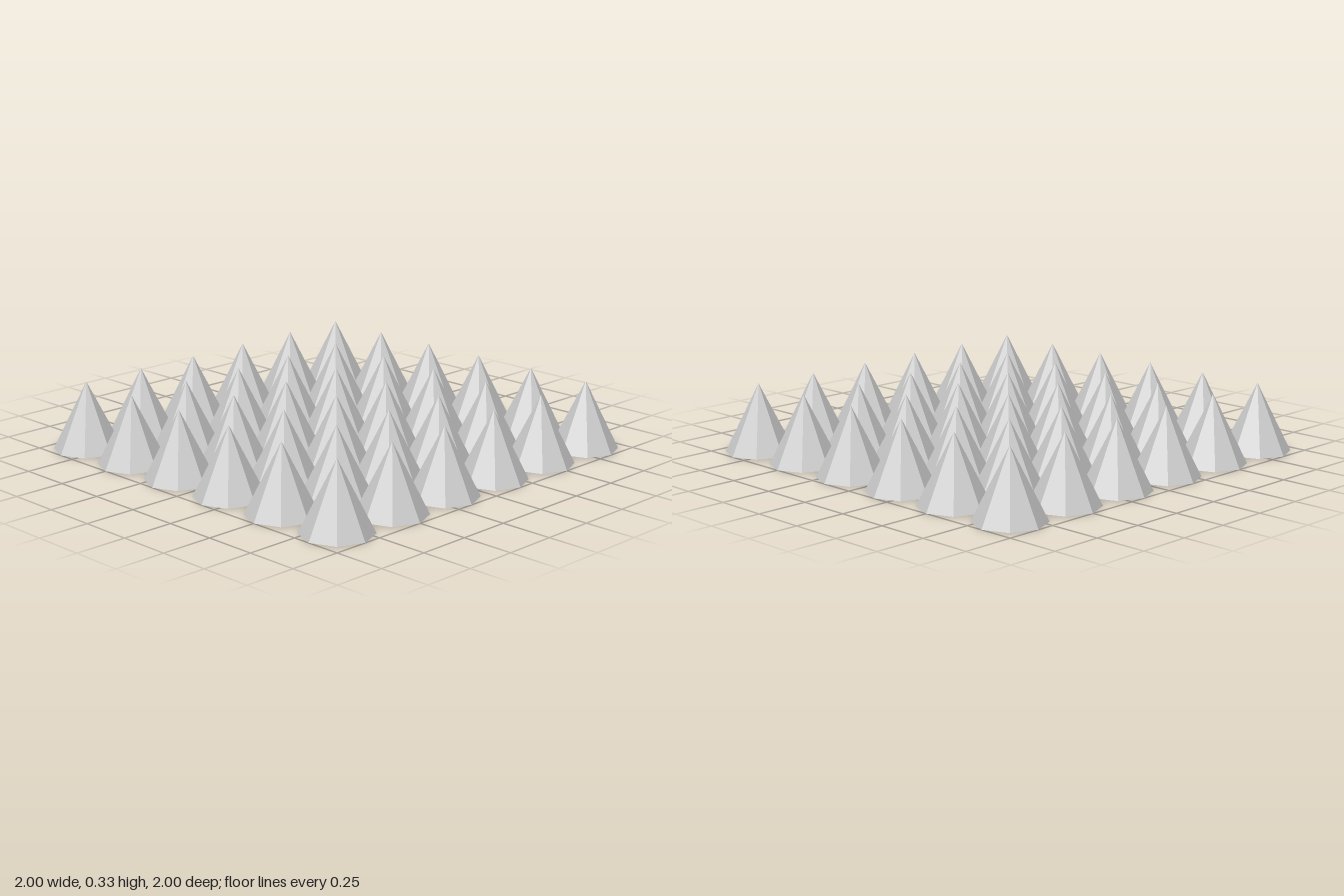
import * as THREE from 'three';

const COUNT = 6;
const RADIUS = 0.166;
const HEIGHT = 0.33;
const SPACING = (2 - 2 * RADIUS) / (COUNT - 1);

export function createModel() {
  const group = new THREE.Group();
  group.name = 'coneField';
  const material = new THREE.MeshStandardMaterial({ color: 0xcccccc, flatShading: true });

  // Eight-sided closed cone standing on the ground
  const geometry = new THREE.ConeGeometry(RADIUS, HEIGHT, 8);
  geometry.translate(0, HEIGHT / 2, 0);

  // Square grid of cones, row by row from back to front
  for (let row = 0; row < COUNT; row++) {
    const rowGroup = new THREE.Group();
    rowGroup.name = `coneRow${row + 1}`;
    rowGroup.position.z = (row - (COUNT - 1) / 2) * SPACING;
    for (let col = 0; col < COUNT; col++) {
      const cone = new THREE.Mesh(geometry, material);
      cone.name = `cone${col + 1}`;
      cone.position.x = (col - (COUNT - 1) / 2) * SPACING;
      rowGroup.add(cone);
    }
    group.add(rowGroup);
  }
  return group;
}
